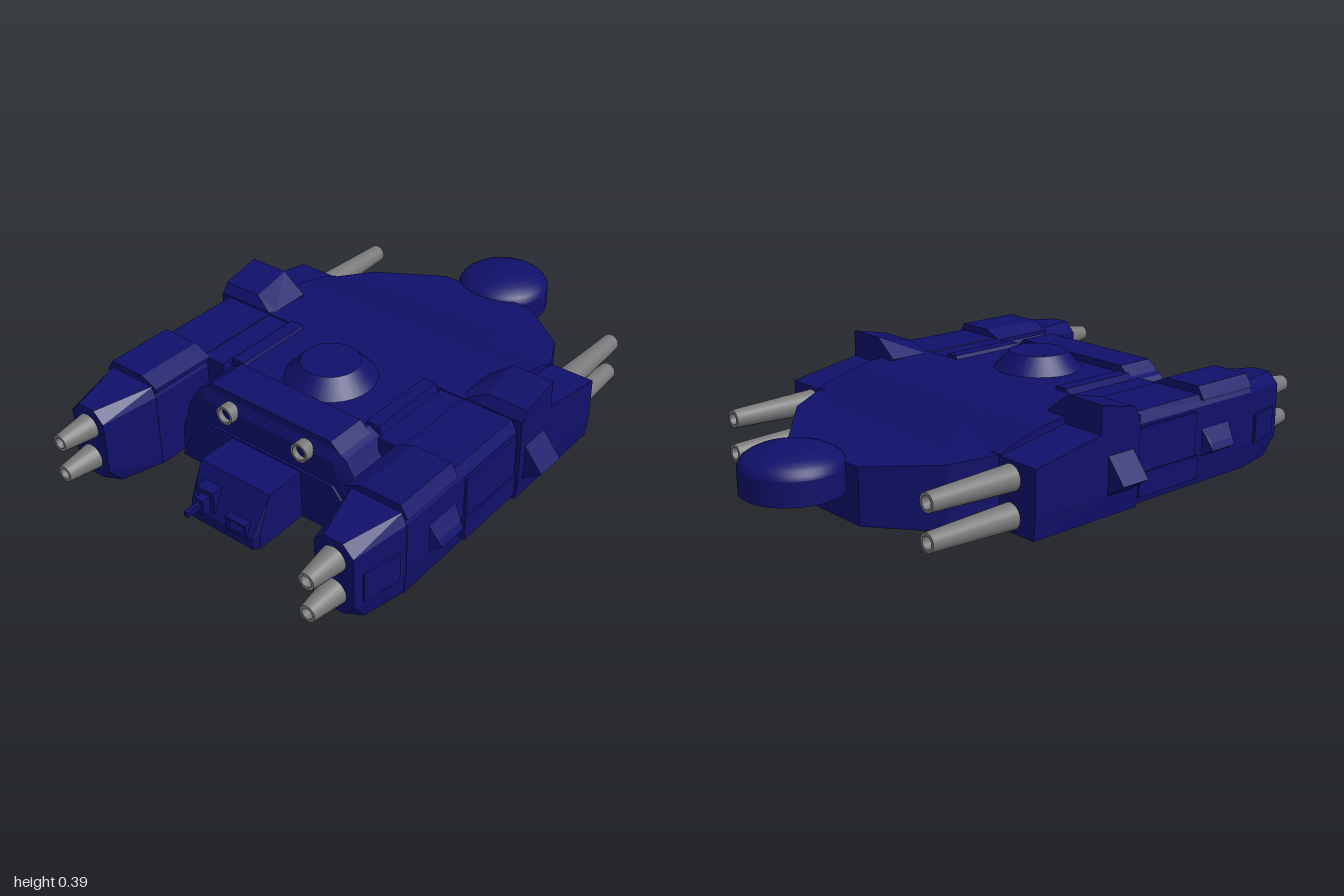
import * as THREE from 'three';
import { ConvexGeometry } from 'three/addons/geometries/ConvexGeometry.js';

export function createModel() {
  const model = new THREE.Group();
  const navy = new THREE.MeshStandardMaterial({ color: 0x10106a });
  navy.name = 'navy armour';
  const grey = new THREE.MeshStandardMaterial({ color: 0x787878 });
  grey.name = 'gun metal grey';

  const add = (name, geometry, material = navy) => {
    const mesh = new THREE.Mesh(geometry, material);
    mesh.name = name;
    model.add(mesh);
    return mesh;
  };
  // Convex faceted solid through a set of [x, y, z] corners
  const solid = (name, pts) => add(name, new ConvexGeometry(pts.map(p => new THREE.Vector3(...p))));
  const pair = (name, pts) => {
    solid(name + 'Left', pts);
    solid(name + 'Right', pts.map(([x, y, z]) => [-x, y, z]));
  };
  // Corner makers: a side profile [z, y] swept over x, a front profile [x, y] swept over z
  const alongX = (x0, x1, prof) => prof.flatMap(([z, y]) => [[x0, y, z], [x1, y, z]]);
  const alongZ = (z0, z1, prof) => prof.flatMap(([x, y]) => [[x, y, z0], [x, y, z1]]);
  const both = prof => prof.flatMap(([x, y]) => [[x, y], [-x, y]]);
  const box = (x0, x1, y0, y1, z0, z1) => alongX(x0, x1, [[z0, y0], [z0, y1], [z1, y0], [z1, y1]]);

  // Central hull with arched front
  solid('frontHull', [
    ...alongZ(0.05, 0.56, both([[0.42, 0], [0.41, 0.1], [0.37, 0.22], [0.32, 0.3], [0.28, 0.32]])),
    ...both([[0.34, 0], [0.34, 0.12], [0.28, 0.28]]).map(([x, y]) => [x, y, 0.575]),
  ]);
  solid('lowerFrontPlate', alongZ(0.56, 0.585, both([[0.4, 0], [0.34, 0.12], [0.28, 0.19]])));
  solid('frontRoof', [
    ...both([[0.3, 0.31], [0.26, 0.345]]).map(([x, y]) => [x, y, 0.41]),
    ...both([[0.3, 0.31], [0.26, 0.345]]).map(([x, y]) => [x, y, 0.56]),
  ]);
  pair('roofRail', alongZ(0.08, 0.39, [[0.26, 0.31], [0.27, 0.333], [0.32, 0.333], [0.33, 0.3]]));
  pair('innerDeck', box(0.34, 0.45, 0.1, 0.315, 0.05, 0.42));

  // Middle deck and wide shoulders
  solid('middleDeck', alongX(-0.5, 0.5, [[0.08, 0], [0.08, 0.32], [-0.05, 0.32],
    [-0.2, 0.3], [-0.31, 0.272], [-0.38, 0.245], [-0.38, 0]]));
  pair('shoulder', [
    ...alongX(0.42, 0.655, [[0.08, 0], [-0.38, 0]]),
    ...alongX(0.42, 0.665, [[0.08, 0.08], [-0.38, 0.08], [0.08, 0.32], [-0.1, 0.28], [-0.38, 0.24]]),
  ]);
  pair('shoulderFin', [
    ...alongX(0.42, 0.665, [[0.08, 0.24], [0.08, 0.31], [-0.1, 0.26]]),
    ...alongX(0.51, 0.665, [[0.05, 0.355], [-0.1, 0.388]]),
    [0.42, 0.32, 0.05], [0.42, 0.32, -0.1],
  ]);
  pair('sideWedge', alongZ(-0.065, 0.05, [[0.65, 0.23], [0.735, 0.125], [0.65, 0.065]]));

  // Tapered rear hull
  const rear = [[0.5, -0.37], [0.42, -0.53], [0.2, -0.71]];
  solid('rearHull', rear.flatMap(([x, z]) => [-x, x].flatMap(px =>
    [[px, 0, z], [px, 0.2 + (z + 0.71) * 0.13, z]])));
  solid('rearSlope', [
    ...both([[0.2, 0.298]]).map(([x, y]) => [x, y, -0.21]),
    ...both([[0.48, 0.245], [0.48, 0.18]]).map(([x, y]) => [x, y, -0.37]),
    ...both([[0.36, 0.222]]).map(([x, y]) => [x, y, -0.5]),
    ...both([[0.2, 0.18]]).map(([x, y]) => [x, y, -0.6]),
  ]);

  // Round rear sensor: short drum under a shallow dome
  const domeProfile = [[0, 0.1], [0.176, 0.1], [0.176, 0.1], [0.176, 0.185], [0.176, 0.185]];
  for (let i = 1; i <= 8; i++) {
    const a = i / 8 * Math.PI / 2;
    domeProfile.push([i === 8 ? 0 : 0.176 * Math.cos(a), 0.185 + 0.07 * Math.sin(a)]);
  }
  const lathe = (prof, n) => new THREE.LatheGeometry(prof.map(p => new THREE.Vector2(...p)), n);
  add('rearSensorDome', lathe(domeProfile, 40)).position.z = -0.825;

  // Roof turret: stepped truncated cone
  const turret = add('roofTurret', new THREE.CylinderGeometry(0.105, 0.165, 0.065, 32));
  turret.position.set(0, 0.349, 0.245);

  // Side pods with chamfered noses
  const ring = (x0, x1, y0, y1, c, z) => [
    [x0 + c, y0, z], [x1 - c, y0, z], [x1, y0 + c, z], [x1, y1 - c, z],
    [x1 - c, y1, z], [x0 + c, y1, z], [x0, y1 - c, z], [x0, y0 + c, z]];
  pair('podBody', [
    ...alongX(0.415, 0.635, [[0.05, 0], [0.67, 0]]),
    ...alongX(0.415, 0.645, [[0.05, 0.09], [0.67, 0.09], [0.05, 0.28], [0.67, 0.28]]),
    ...alongX(0.43, 0.625, [[0.05, 0.318], [0.67, 0.318]]),
  ]);
  pair('podNose', [
    ...ring(0.455, 0.605, 0.03, 0.305, 0.04, 0.875),
    ...alongX(0.415, 0.635, [[0.66, 0]]), [0.46, 0, 0.82], [0.6, 0, 0.82],
    ...alongX(0.415, 0.645, [[0.66, 0.09], [0.66, 0.28]]),
    ...alongX(0.43, 0.625, [[0.66, 0.318]]),
  ]);
  pair('podRoof', alongZ(0.412, 0.67, [[0.41, 0.3], [0.41, 0.315], [0.475, 0.345], [0.62, 0.345], [0.648, 0.3]]));
  pair('podSidePanel', box(0.6, 0.66, 0.03, 0.115, 0.09, 0.38));
  pair('podUpperPanel', box(0.6, 0.655, 0.115, 0.27, 0.09, 0.37));
  pair('podSideBump', [
    ...alongZ(0.41, 0.56, [[0.63, 0.22], [0.63, 0.09]]),
    ...alongZ(0.43, 0.54, [[0.687, 0.125], [0.675, 0.15]]),
  ]);
  pair('nosePanel', [
    ...alongX(0.58, 0.648, [[0.705, 0.085], [0.705, 0.19]]),
    ...alongX(0.58, 0.618, [[0.84, 0.085], [0.84, 0.19]]),
  ]);

  // Front cab with sloping face, weapon port and vision port
  solid('cab', [
    ...alongX(-0.15, 0.15, [[0.5, 0], [0.5, 0.185], [0.735, 0.185], [0.79, 0.06], [0.79, 0]]),
    ...alongX(-0.135, 0.135, [[0.81, 0.045], [0.81, 0]]),
  ]);
  const frame = (name, x0, x1, y0, y1, z0, z1, t) => {
    solid(name + 'Top', box(x0, x1, y1 - t, y1, z0, z1));
    solid(name + 'Bottom', box(x0, x1, y0, y0 + t, z0, z1));
    solid(name + 'SideA', box(x0, x0 + t, y0, y1, z0, z1));
    solid(name + 'SideB', box(x1 - t, x1, y0, y1, z0, z1));
  };
  frame('weaponPort', -0.108, -0.034, 0.042, 0.14, 0.74, 0.805, 0.018);
  frame('visionPort', 0.022, 0.112, 0.032, 0.088, 0.76, 0.815, 0.01);
  solid('cabGunMount', box(-0.088, -0.054, 0.06, 0.12, 0.74, 0.835));
  solid('cabGunBarrel', box(-0.08, -0.062, 0.088, 0.106, 0.8, 0.895));

  // Hollow tapered gun barrel, pointing along +z or -z
  const barrel = (name, x, y, z, length, r0, r1, dir) => {
    const b = r1 * 0.65;
    const prof = [[r0, 0], [r1, length], [r1, length], [b, length], [b, length], [b, length * 0.6],
      [b, length * 0.6], [0, length * 0.6]];
    const mesh = add(name, lathe(prof, 20), grey);
    mesh.rotation.x = dir * Math.PI / 2;
    mesh.position.set(x, y, z);
  };
  for (const [side, s] of [['Left', 1], ['Right', -1]]) {
    barrel('frontUpperGun' + side, s * 0.53, 0.23, 0.87, 0.13, 0.047, 0.03, 1);
    barrel('frontLowerGun' + side, s * 0.53, 0.103, 0.87, 0.13, 0.047, 0.03, 1);
    barrel('rearUpperGun' + side, s * 0.55, 0.183, -0.37, 0.345, 0.046, 0.033, -1);
    barrel('rearLowerGun' + side, s * 0.55, 0.055, -0.37, 0.345, 0.046, 0.033, -1);
    // Headlight ring on the arch
    const light = add('headlight' + side, lathe([[0.035, 0], [0.035, 0.04], [0.035, 0.04],
      [0.026, 0.04], [0.026, 0.04], [0.026, 0.005]], 20), grey);
    light.rotation.x = Math.PI / 2;
    light.position.set(s * 0.163, 0.28, 0.565);
    const lens = add('headlightLens' + side, new THREE.CircleGeometry(0.027, 20));
    lens.position.set(s * 0.163, 0.28, 0.585);
  }
  return model;
}
